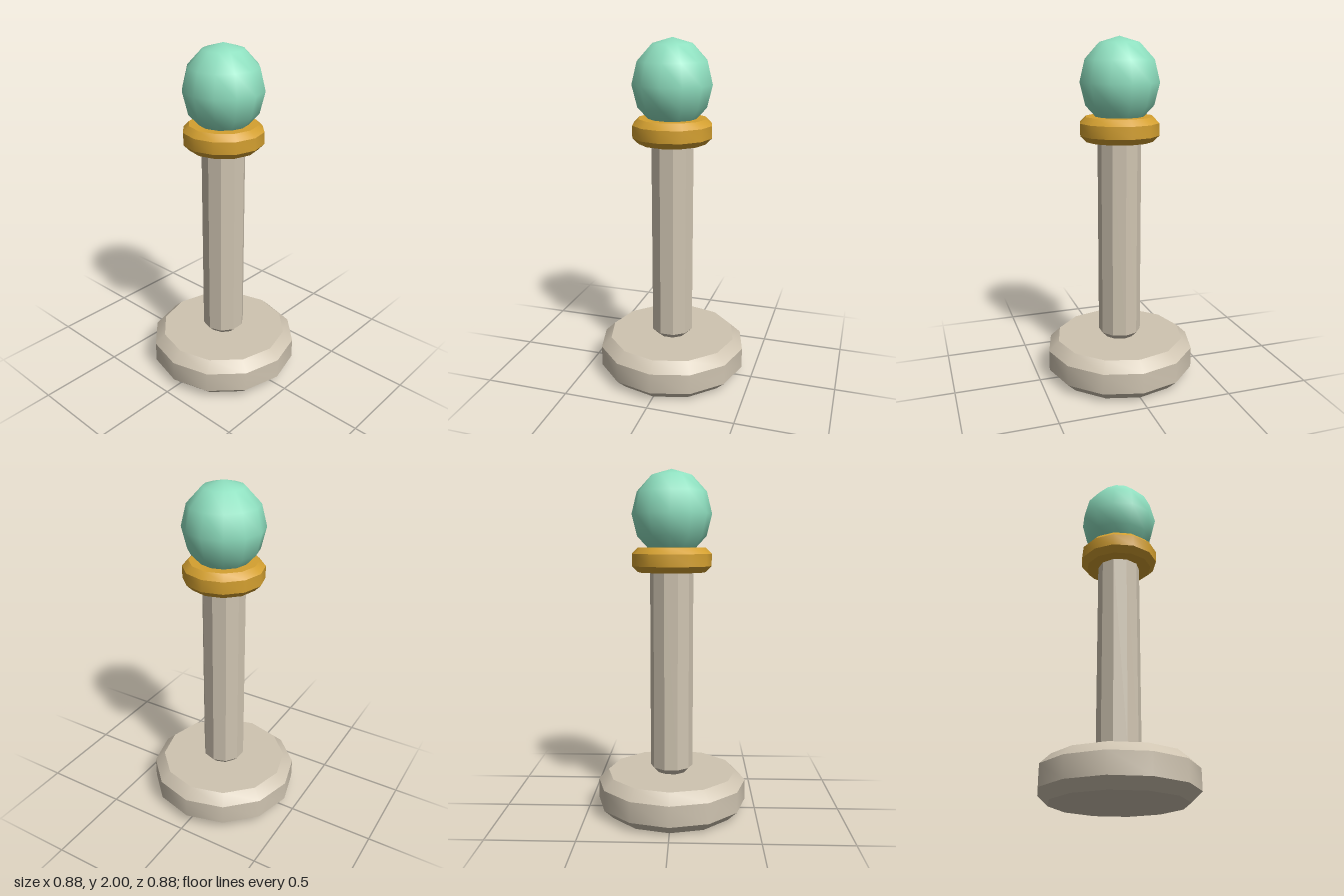
import * as THREE from 'three';
import { toCreasedNormals } from 'three/addons/utils/BufferGeometryUtils.js';

const material = (name, color) => {
  const m = new THREE.MeshStandardMaterial({ color });
  m.name = name;
  return m;
};

// Solid turned from a [radius, y] profile listed bottom to top; bevels stay sharp
function turned(name, profile, sides, mat) {
  const points = profile.map(([r, y]) => new THREE.Vector2(r, y));
  const geometry = toCreasedNormals(new THREE.LatheGeometry(points, sides), 0.6);
  const mesh = new THREE.Mesh(geometry, mat);
  mesh.name = name;
  return mesh;
}

// Closed disc with both rims bevelled
function bevelled(radius, bottom, top, inset, drop) {
  return [
    [0, bottom], [radius - inset, bottom], [radius, bottom + drop],
    [radius, top - drop], [radius - inset, top], [0, top],
  ];
}

export function createModel() {
  const stone = material('stone', 0xcfc4b1);
  const gold = material('gold', 0xd4a030);
  const jade = material('jade', 0x8fe0c0);

  const model = new THREE.Group();
  model.name = 'pedestalWithOrb';

  // Plinth, ten-sided shaft and collar
  model.add(turned('base', bevelled(0.44, 0, 0.235, 0.06, 0.057), 12, stone));
  model.add(turned('column', bevelled(0.125, 0.235, 1.46, 0.035, 0.035), 10, stone));
  model.add(turned('collar', bevelled(0.23, 1.42, 1.56, 0.035, 0.035), 12, gold));

  // Slightly tall orb resting in the collar
  const orb = new THREE.Mesh(new THREE.SphereGeometry(0.23, 12, 6), jade);
  orb.name = 'orb';
  orb.scale.y = 0.25 / 0.23;
  orb.position.y = 1.75;
  model.add(orb);

  return model;
}
